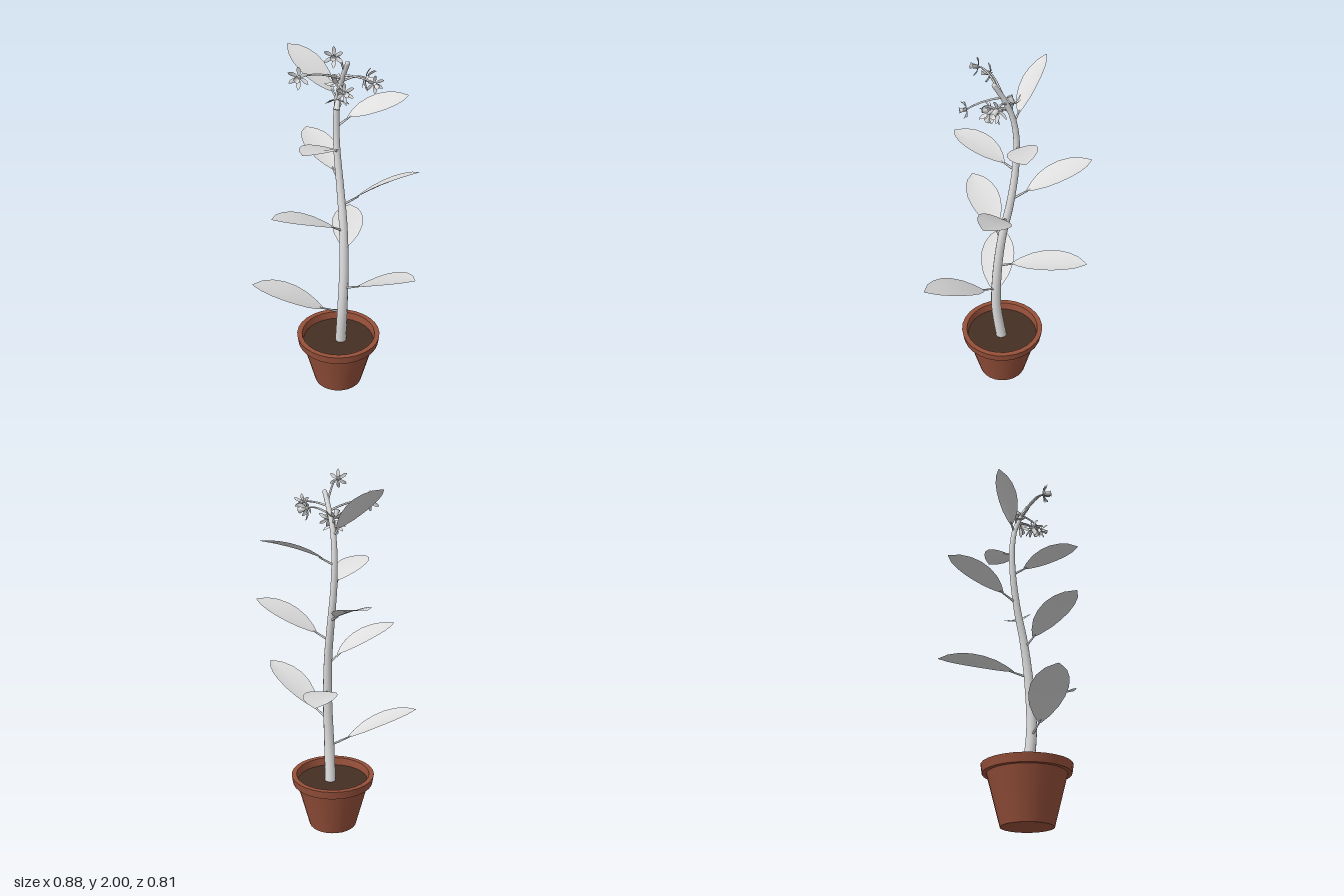
import * as THREE from 'three';

const V = (x, y, z) => new THREE.Vector3(x, y, z);
const plantMat = new THREE.MeshStandardMaterial({ color: 0xdedede, side: THREE.DoubleSide });
plantMat.name = 'pale plant';
const potMat = new THREE.MeshStandardMaterial({ color: 0x96503a });
potMat.name = 'terracotta';
const soilMat = new THREE.MeshStandardMaterial({ color: 0x452f24 });
soilMat.name = 'soil brown';

function mesh(name, geometry, material) {
  const m = new THREE.Mesh(geometry, material);
  m.name = name;
  return m;
}

// Tube whose radius runs from r0 to r1 along the curve
function taperedTube(curve, segments, r0, r1, sides) {
  const g = new THREE.TubeGeometry(curve, segments, 1, sides);
  const pos = g.attributes.position;
  const v = V(0, 0, 0);
  for (let i = 0; i <= segments; i++) {
    const c = curve.getPointAt(i / segments);
    const r = r0 + (r1 - r0) * (i / segments);
    for (let j = 0; j <= sides; j++) {
      const k = i * (sides + 1) + j;
      v.fromBufferAttribute(pos, k).sub(c).multiplyScalar(r).add(c);
      pos.setXYZ(k, v.x, v.y, v.z);
    }
  }
  return g;
}

// Pointed blade from base to tip: rows of left edge, midrib, right edge
const OUTLINE = [[0, 0.06], [0.1, 0.42], [0.25, 0.78], [0.42, 0.97], [0.58, 1], [0.74, 0.86], [0.88, 0.56], [1, 0.04]];
function blade(base, tip, width, roll = 0, fold = 0.08, arch = 0.03) {
  const along = tip.clone().sub(base);
  const length = along.length();
  const dir = along.clone().normalize();
  const ref = Math.abs(dir.y) > 0.98 ? V(0, 0, 1) : V(0, 1, 0);
  const side = dir.clone().cross(ref).normalize().applyAxisAngle(dir, -roll);
  const up = side.clone().cross(dir);
  const p = [], idx = [];
  OUTLINE.forEach(([t, w], i) => {
    for (const s of [-1, 0, 1]) {
      const lift = Math.sin(Math.PI * t) * arch * length + Math.abs(s) * w * width * fold;
      const q = base.clone().addScaledVector(along, t)
        .addScaledVector(side, s * w * width / 2).addScaledVector(up, lift);
      p.push(q.x, q.y, q.z);
    }
    if (i === 0) return;
    for (const c of [0, 1]) {
      const a = (i - 1) * 3 + c, b = a + 3;
      idx.push(a, a + 1, b, a + 1, b + 1, b);
    }
  });
  const g = new THREE.BufferGeometry();
  g.setAttribute('position', new THREE.Float32BufferAttribute(p, 3));
  g.setIndex(idx);
  g.computeVertexNormals();
  return g;
}

// Six-petalled star with a small open cup, built facing +z
function flower(size) {
  const f = new THREE.Group();
  for (let i = 0; i < 6; i++) {
    const a = (i / 6) * Math.PI * 2;
    const tip = V(0, 1, i % 2 ? 0.45 : 0.2).multiplyScalar(size);
    const petal = mesh('petal', blade(V(0, 0.08 * size, 0), tip, size * 0.36, 0, 0.15, 0.06), plantMat);
    petal.rotation.z = a;
    f.add(petal);
  }
  const profile = [[0.06, -0.1], [0.2, 0.05], [0.23, 0.5], [0.3, 0.75]]
    .map(([r, y]) => new THREE.Vector2(r * size, y * size));
  const cup = mesh('flowerCup', new THREE.LatheGeometry(profile, 8), plantMat);
  cup.rotation.x = Math.PI / 2;
  f.add(cup);
  return f;
}

export function createModel() {
  const root = new THREE.Group();
  root.name = 'pottedPlant';

  // Pot with a thick overhanging rim
  const pot = new THREE.Group();
  pot.name = 'pot';
  pot.position.set(0.026, 0, 0.057);
  const potProfile = [[0, 0], [0.135, 0], [0.205, 0.265], [0.228, 0.265], [0.235, 0.311], [0.207, 0.311], [0.197, 0.25]];
  const pieces = potProfile.slice(1).map((b, i) => [potProfile[i], b]);
  for (const pair of pieces) {
    const pts = pair.map(([r, y]) => new THREE.Vector2(r, y));
    pot.add(mesh('potWall', new THREE.LatheGeometry(pts, 28), potMat));
  }
  const soil = mesh('soil', new THREE.CircleGeometry(0.201, 28), soilMat);
  soil.rotation.x = -Math.PI / 2;
  soil.position.y = 0.268;
  pot.add(soil);
  root.add(pot);

  // Swaying main stem
  const stemPts = [
    [0.04, 0.26, 0.06], [0.048, 0.5, 0.086], [0.055, 0.75, 0.077], [0.05, 1.0, 0.048],
    [0.034, 1.2, 0.008], [0.015, 1.42, -0.02], [0.012, 1.58, -0.023], [0.02, 1.7, -0.006],
    [0.04, 1.8, 0.03], [0.065, 1.89, 0.075],
  ].map(a => V(...a));
  const stemCurve = new THREE.CatmullRomCurve3(stemPts);
  root.add(mesh('stem', taperedTube(stemCurve, 36, 0.031, 0.012, 12), plantMat));
  const cap = mesh('stemTip', new THREE.SphereGeometry(0.012, 10, 6), plantMat);
  cap.position.copy(stemPts[9]);
  root.add(cap);
  const stemAt = y => {
    let lo = 0, hi = 1;
    for (let i = 0; i < 24; i++) {
      const mid = (lo + hi) / 2;
      if (stemCurve.getPoint(mid).y < y) lo = mid; else hi = mid;
    }
    return stemCurve.getPoint(lo);
  };

  // Leaves: stem height, blade base, blade tip, width, roll
  const leaves = [
    [0.47, [-0.055, 0.51, 0.11], [-0.44, 0.68, 0.13], 0.195, 0],
    [0.63, [0.125, 0.675, 0.14], [0.405, 0.875, 0.4], 0.185, 0],
    [0.80, [0.06, 0.83, -0.005], [0.095, 0.893, -0.41], 0.175, 0],
    [0.97, [0.0, 1.015, 0.09], [-0.31, 1.15, 0.265], 0.175, 0],
    [1.11, [0.11, 1.155, 0.03], [0.435, 1.325, 0.08], 0.165, 0.25],
    [1.23, [0.0, 1.27, -0.075], [-0.155, 1.388, -0.395], 0.17, 0],
    [1.40, [0.005, 1.435, 0.04], [-0.145, 1.518, 0.32], 0.165, 0],
    [1.53, [0.07, 1.572, -0.055], [0.38, 1.668, -0.11], 0.15, -0.25],
    [1.68, [0.0, 1.715, -0.03], [-0.232, 1.925, -0.138], 0.14, 0.45],
  ];
  for (const [y, b, t, w, roll] of leaves) {
    const base = V(...b), tip = V(...t);
    const leaf = new THREE.Group();
    leaf.name = 'leaf';
    leaf.add(mesh('leafBlade', blade(base, tip, w, roll), plantMat));
    const stalk = new THREE.LineCurve3(stemAt(y), base.clone().lerp(tip, 0.06));
    leaf.add(mesh('leafStalk', taperedTube(stalk, 2, 0.007, 0.004, 6), plantMat));
    root.add(leaf);
  }

  // Flowers on arching stalks: stem height, position, facing, size
  const flowers = [
    [1.84, [0.0, 1.947, 0.16], [-0.1, 0.1, 1], 0.05],
    [1.80, [-0.165, 1.838, 0.13], [-0.2, 0, 1], 0.055],
    [1.82, [0.19, 1.825, 0.185], [0.3, -0.1, 1], 0.045],
    [1.78, [0.155, 1.81, 0.05], [0.9, -0.25, 0.35], 0.062],
    [1.74, [0.018, 1.715, 0.1], [-0.1, -0.8, 0.4], 0.062],
    [1.72, [0.008, 1.77, -0.005], [-0.15, 0.7, 0.35], 0.055],
    [1.75, [0.05, 1.75, 0.1], [0.3, 0.15, 1], 0.05],
  ];
  for (const [y, p, facing, size] of flowers) {
    const start = stemAt(y), end = V(...p);
    const bloom = flower(size);
    bloom.name = 'flower';
    bloom.position.copy(end);
    bloom.lookAt(end.clone().add(V(...facing)));
    root.add(bloom);
    const bend = start.clone().lerp(end, 0.6);
    bend.y = Math.max(start.y, end.y) + 0.02;
    const arc = new THREE.QuadraticBezierCurve3(start, bend, end);
    root.add(mesh('flowerStalk', taperedTube(arc, 8, 0.006, 0.004, 6), plantMat));
  }
  return root;
}
